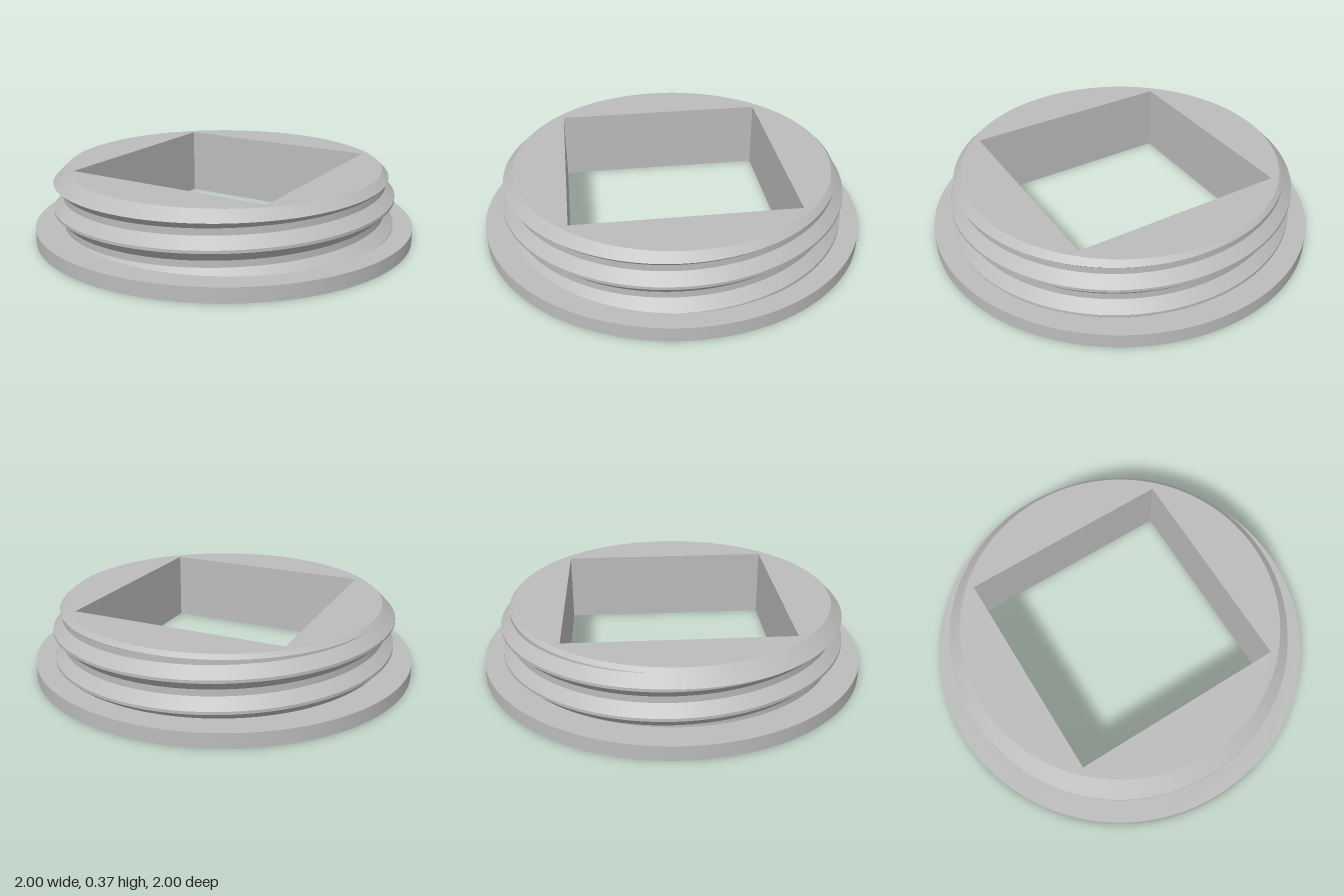
import * as THREE from 'three';
import { toCreasedNormals } from 'three/addons/utils/BufferGeometryUtils.js';

const STEPS = 144;            // facets per turn
const BASE = 0.075, TOP = 0.37;
const PITCH = 0.15, ROOT = 0.85, CREST = 0.9;
const TOP_R = 0.83, HOLE = 0.56;
const LIMIT = TOP_R + TOP;    // 45 degree chamfer cone: r + y = LIMIT

// One pitch of the thread, [radius, height from crest centre]
const PROFILE = [
  [ROOT, -0.0575], [CREST, -0.0075], [CREST, 0.0075], [ROOT, 0.059], [ROOT, PITCH - 0.0575],
];

// Crest height at a given angle, rising a pitch per turn
const crestY = (a) => -0.155 + PITCH * a / (Math.PI * 2);
const place = (a, [r, y]) => [-r * Math.cos(a), y, r * Math.sin(a)];
const mix = (p, q, t) => [p[0] + (q[0] - p[0]) * t, p[1] + (q[1] - p[1]) * t];

// Profile segment s at angle a, trimmed by the flange below and the chamfer above
function segment(s, a) {
  const y = crestY(a);
  const p = [PROFILE[s][0], PROFILE[s][1] + y];
  const q = [PROFILE[s + 1][0], PROFILE[s + 1][1] + y];
  const gp = p[0] + p[1], gq = q[0] + q[1];
  const clamp = (t) => Math.min(1, Math.max(0, t));
  const t0 = q[1] - p[1] > 0 ? clamp((BASE - p[1]) / (q[1] - p[1])) : 0;
  const t1 = clamp((LIMIT - gp) / (gq - gp));
  const hi = Math.max(t0, t1);
  return { low: mix(p, q, t0), high: mix(p, q, hi), crosses: gp <= LIMIT && gq >= LIMIT };
}

// Smooth strip between a lower and an upper edge; collapsed parts are left out
function strip(rows) {
  const positions = rows.flatMap(([low, high]) => [...low, ...high]);
  const index = [];
  const height = ([low, high]) => high[1] - low[1];
  for (let i = 0; i < rows.length - 1; i++) {
    const k = i * 2;
    if (height(rows[i]) > 1e-5) index.push(k, k + 2, k + 1);
    if (height(rows[i + 1]) > 1e-5) index.push(k + 2, k + 3, k + 1);
  }
  const geometry = new THREE.BufferGeometry();
  geometry.setAttribute('position', new THREE.Float32BufferAttribute(positions, 3));
  geometry.setIndex(index);
  geometry.computeVertexNormals();
  return geometry;
}

// Round plate with the square hole through it
function plate(radius, y0, y1) {
  const shape = new THREE.Shape().absarc(0, 0, radius, 0, Math.PI * 2, false);
  const h = HOLE;
  shape.holes.push(new THREE.Path([[-h, -h], [-h, h], [h, h], [h, -h]].map(([x, y]) => new THREE.Vector2(x, y))));
  const geometry = new THREE.ExtrudeGeometry(shape, {
    depth: y1 - y0, bevelEnabled: false, curveSegments: STEPS,
  });
  geometry.rotateX(-Math.PI / 2).translate(0, y0, 0);
  return toCreasedNormals(geometry, 0.5);
}

export function createModel() {
  const group = new THREE.Group();
  const grey = new THREE.MeshStandardMaterial({ color: 0xbcbcbc });
  grey.name = 'grey';
  const add = (name, geometry, parent = group) => {
    const mesh = new THREE.Mesh(geometry, grey);
    mesh.name = name;
    parent.add(mesh);
  };

  add('flange', plate(1, 0, BASE));
  add('core', plate(TOP_R, BASE, TOP));

  // Helical thread faces, wound over four turns and trimmed to the body
  const thread = new THREE.Group();
  thread.name = 'thread';
  group.add(thread);
  const angle = (i) => i / STEPS * Math.PI * 2;
  ['lowerFlank', 'crest', 'upperFlank', 'root'].forEach((name, s) => {
    const rows = [];
    for (let i = 0; i <= STEPS * 4; i++) {
      const a = angle(i), { low, high } = segment(s, a);
      rows.push([place(a, low), place(a, high)]);
    }
    add(name, strip(rows), thread);
  });

  // Chamfer from the trimmed thread up to the top face
  const rim = [];
  for (let i = 0; i <= STEPS; i++) {
    let edge = [ROOT, LIMIT - ROOT];
    for (let turn = 0; turn < 4; turn++) {
      for (let s = 0; s < 4; s++) {
        const part = segment(s, angle(i + turn * STEPS));
        if (part.crosses) edge = part.high;
      }
    }
    rim.push([place(angle(i), edge), place(angle(i), [TOP_R, TOP])]);
  }
  add('topChamfer', strip(rim));

  return group;
}
